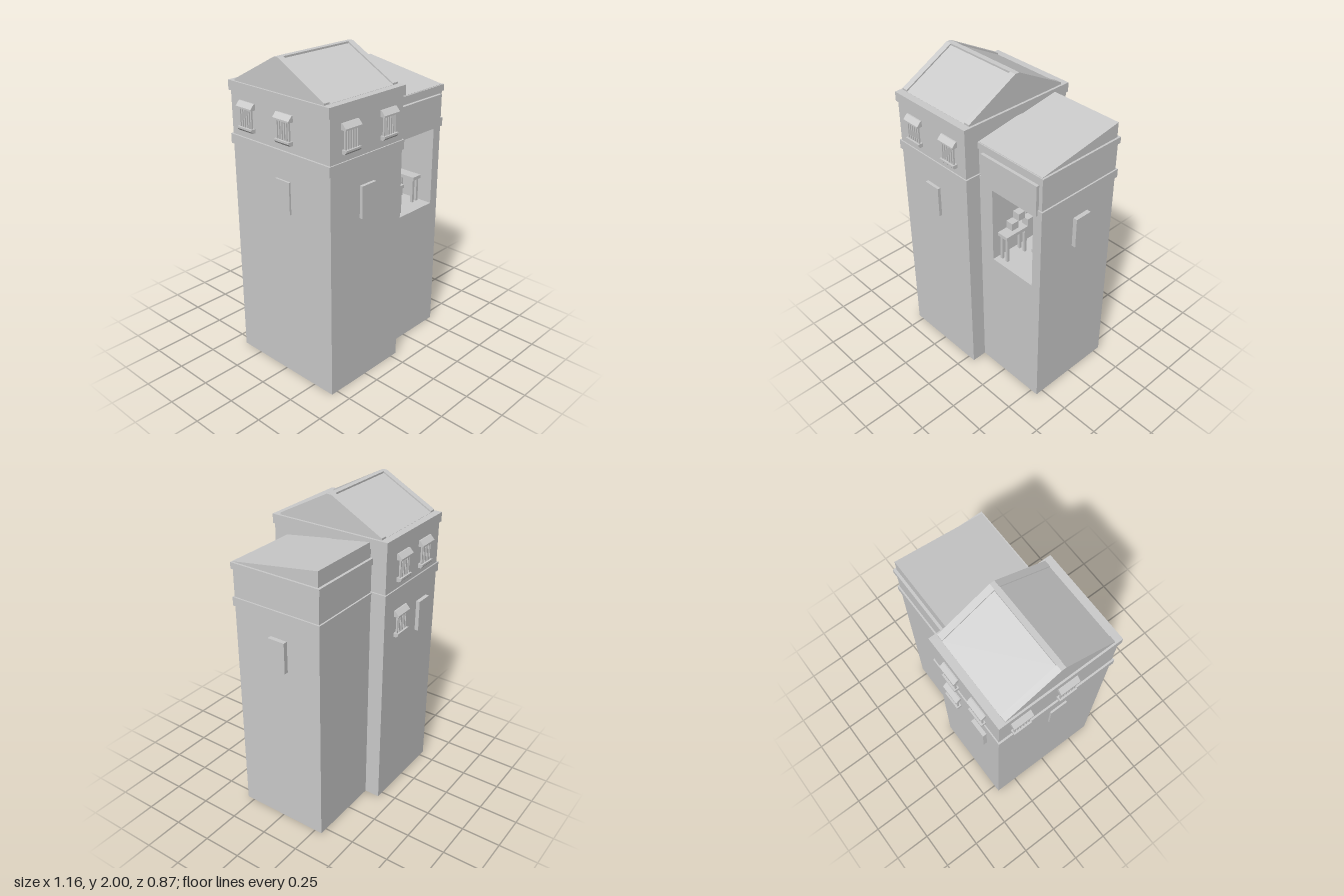
import * as THREE from 'three';

export function createModel() {
  const root = new THREE.Group();
  const mat = new THREE.MeshStandardMaterial({ color: 0xcccccc, flatShading: true });

  const add = (parent, name, geo) => {
    const mesh = new THREE.Mesh(geo, mat);
    mesh.name = name;
    parent.add(mesh);
    return mesh;
  };
  // Box given by its limits on each axis
  const box = (parent, name, x0, x1, y0, y1, z0, z1) => {
    const geo = new THREE.BoxGeometry(x1 - x0, y1 - y0, z1 - z0);
    geo.translate((x0 + x1) / 2, (y0 + y1) / 2, (z0 + z1) / 2);
    return add(parent, name, geo);
  };
  // Profile of [z, y] points swept along x
  const prism = (parent, name, points, x0, x1) => {
    const shape = new THREE.Shape(points.map(([z, y]) => new THREE.Vector2(-z, y)));
    const geo = new THREE.ExtrudeGeometry(shape, { depth: x1 - x0, bevelEnabled: false });
    geo.rotateY(Math.PI / 2);
    geo.translate(x0, 0, 0);
    return add(parent, name, geo);
  };
  const group = (name, parent = root) => {
    const g = new THREE.Group();
    g.name = name;
    parent.add(g);
    return g;
  };

  // Main tower with its two string courses
  const tower = group('mainTower');
  box(tower, 'towerWalls', -0.545, 0.05, 0, 1.78, -0.4, 0.4);
  box(tower, 'lowerBand', -0.557, 0.06, 1.42, 1.48, -0.408, 0.408);
  box(tower, 'cornice', -0.557, 0.06, 1.745, 1.805, -0.408, 0.408);

  // Gable roof: recessed slopes between raised end trims and a ridge cap
  const gable = (drop) => [
    [-0.36, 1.8], [-0.36, 1.816 - drop], [-0.015, 2 - drop],
    [0.015, 2 - drop], [0.36, 1.816 - drop], [0.36, 1.8],
  ];
  const roof = group('gableRoof');
  prism(roof, 'roofSlopes', gable(0.01), -0.505, 0.003);
  prism(roof, 'roofEndTrim', gable(0), -0.545, -0.505);
  prism(roof, 'roofEndTrim', gable(0), 0.003, 0.045);
  box(roof, 'ridgeCap', -0.505, 0.003, 1.98, 2, -0.017, 0.017);

  // Side annex: front part is open to a room, closed by a back wall
  const annex = group('annex');
  const rect = (target, x0, x1, y0, y1) => {
    target.moveTo(x0, y0);
    target.lineTo(x1, y0);
    target.lineTo(x1, y1);
    target.lineTo(x0, y1);
    target.closePath();
    return target;
  };
  const front = rect(new THREE.Shape(), 0.05, 0.55, 0, 1.67);
  front.holes.push(rect(new THREE.Path(), 0.155, 0.485, 0.905, 1.42));
  const shell = new THREE.ExtrudeGeometry(front, { depth: 0.55, bevelEnabled: false });
  shell.translate(0, 0, -0.25);
  add(annex, 'annexWalls', shell);
  box(annex, 'annexBackWall', 0.05, 0.55, 0, 1.67, -0.3, -0.25);
  box(annex, 'annexLowerBand', 0.05, 0.56, 1.42, 1.475, -0.31, 0.308);
  box(annex, 'annexCornice', 0.05, 0.56, 1.65, 1.69, -0.31, 0.308);
  prism(annex, 'leanToRoof', [[-0.293, 1.69], [-0.293, 1.785], [0.3, 1.692], [0.3, 1.69]], 0.05, 0.547);
  box(annex, 'signBoard', 0.085, 0.525, 1.44, 1.635, 0.29, 0.32);

  // Furnished room behind the opening
  const room = group('openRoom', annex);
  const table = (name, x0, x1, z0, z1, top, legRows) => {
    const g = group(name, room);
    box(g, 'tableTop', x0, x1, top - 0.022, top, z0, z1);
    for (let i = 0; i < legRows; i++) {
      const z = z0 + 0.02 + (z1 - z0 - 0.04) * i / (legRows - 1);
      for (const x of [x0 + 0.018, x1 - 0.018])
        box(g, 'tableLeg', x - 0.009, x + 0.009, 0.9, top - 0.02, z - 0.009, z + 0.009);
    }
  };
  table('leftCounter', 0.165, 0.245, -0.2, 0.27, 1.1, 4);
  table('rightCounter', 0.4, 0.475, -0.2, 0.22, 1.085, 4);
  table('backCounter', 0.245, 0.4, -0.24, -0.16, 1.105, 2);
  const crates = [
    [0.165, 1.1, 0.15], [0.195, 1.1, 0.05], [0.17, 1.15, 0.1],
    [0.265, 0.905, 0.02], [0.315, 0.905, 0.06], [0.29, 0.955, 0.03],
  ];
  for (const [x, y, z] of crates) box(room, 'crate', x, x + 0.05, y, y + 0.05, z, z + 0.05);
  box(room, 'innerShutter', 0.155, 0.172, 1.1, 1.3, -0.07, 0.045);
  box(room, 'innerShutter', 0.457, 0.485, 1.1, 1.3, -0.07, 0.045);

  // Barred window facing +z with its wall at z = 0 and middle at y = 0
  const makeWindow = () => {
    const g = group('barredWindow');
    prism(g, 'windowHood', [[-0.01, 0.09], [0.008, 0.09], [0.034, 0.062], [0.034, 0.052], [-0.01, 0.052]], -0.065, 0.065);
    prism(g, 'windowSill', [[-0.01, -0.06], [0.032, -0.06], [0.032, -0.072], [0.02, -0.085], [-0.01, -0.085]], -0.06, 0.06);
    for (let i = 0; i < 6; i++) {
      const x = -0.048 + i * 0.0192;
      box(g, 'windowBar', x - 0.005, x + 0.005, -0.065, 0.058, 0.01, 0.021);
    }
    return g;
  };
  const place = (x, y, z, turn) => {
    const g = makeWindow();
    g.position.set(x, y, z);
    g.rotation.y = turn;
  };
  const midY = 1.61;
  for (const x of [-0.395, -0.083]) place(x, midY, 0.4, 0);
  for (const x of [-0.37, -0.125]) place(x, midY, -0.4, Math.PI);
  for (const z of [-0.258, 0.055]) place(-0.545, midY, z, -Math.PI / 2);
  place(-0.118, 1.25, -0.4, Math.PI);

  // Plain closed shutters
  const shutters = group('shutters');
  box(shutters, 'frontShutter', -0.31, -0.195, 1.1, 1.3, 0.38, 0.42);
  box(shutters, 'backShutter', -0.43, -0.315, 1.1, 1.3, -0.425, -0.38);
  box(shutters, 'rightShutter', -0.557, -0.53, 1.1, 1.3, -0.03, 0.085);
  box(shutters, 'leftShutter', 0.53, 0.578, 1.1, 1.3, -0.073, 0.043);

  return root;
}
